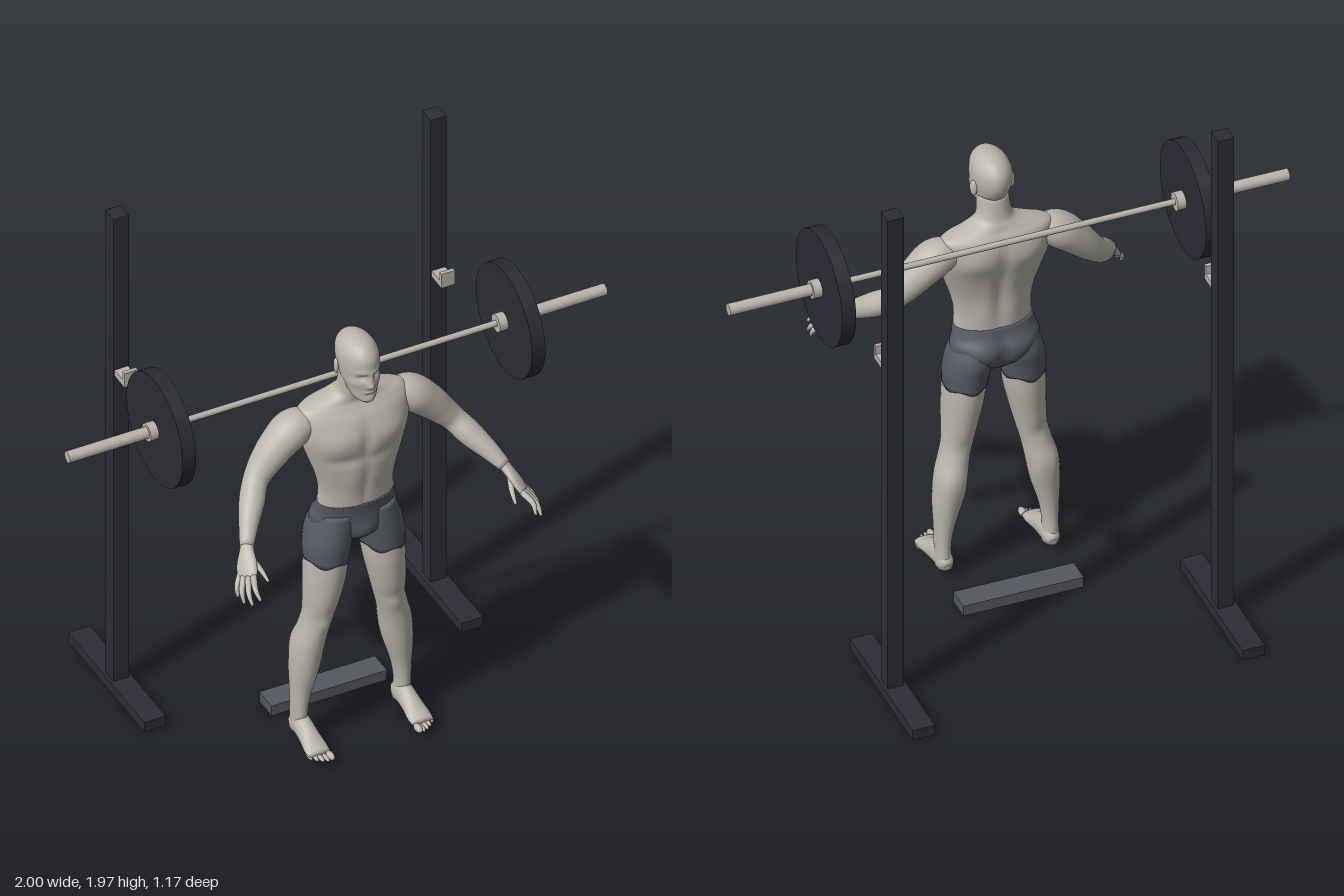
import * as THREE from 'three';

const material = (name, color) => {
  const m = new THREE.MeshStandardMaterial({ color });
  m.name = name;
  return m;
};

// Smooth skin through elliptical rings; rows are [x, y, z, radiusU, radiusV].
// Without ref the rings stay horizontal (rows run upward), otherwise they follow the path.
function loft(rows, { n = 24, steps = 5, ref = null, shape = null } = {}) {
  const centres = new THREE.CatmullRomCurve3(rows.map(r => new THREE.Vector3(r[0], r[1], r[2])), false, 'catmullrom', 0.5);
  const radii = new THREE.CatmullRomCurve3(rows.map(r => new THREE.Vector3(r[3], r[4], 0)), false, 'catmullrom', 0.5);
  const count = (rows.length - 1) * steps;
  const pos = [], index = [];
  for (let i = 0; i <= count; i++) {
    const t = i / count, c = centres.getPoint(t), r = radii.getPoint(t);
    let u = new THREE.Vector3(1, 0, 0), v = new THREE.Vector3(0, 0, 1);
    if (ref) {
      const w = centres.getTangent(t);
      u = new THREE.Vector3().crossVectors(ref, w).normalize();
      v = new THREE.Vector3().crossVectors(u, w).normalize();
    }
    for (let j = 0; j < n; j++) {
      const a = j / n * Math.PI * 2;
      const out = u.clone().multiplyScalar(r.x * Math.cos(a)).addScaledVector(v, r.y * Math.sin(a));
      const p = c.clone().add(out);
      if (shape) shape(p, out.normalize(), a);
      pos.push(p.x, p.y, p.z);
      if (i < count) {
        const k = i * n + j, l = i * n + (j + 1) % n;
        index.push(k, k + n, l, l, k + n, l + n);
      }
    }
  }
  const first = centres.getPoint(0), last = centres.getPoint(1), base = (count + 1) * n;
  pos.push(first.x, first.y, first.z, last.x, last.y, last.z);
  for (let j = 0; j < n; j++) {
    const k = (j + 1) % n;
    index.push(base, j, k, base + 1, count * n + k, count * n + j);
  }
  const g = new THREE.BufferGeometry();
  g.setAttribute('position', new THREE.Float32BufferAttribute(pos, 3));
  g.setIndex(index);
  g.computeVertexNormals();
  return g;
}

// Soft mirrored bulges and hollows: [x, y, z, width, height, amount]
const sculpt = bumps => (p, out) => {
  const q = p.clone();
  for (const [x, y, z, w, h, amount] of bumps) {
    const e = ((Math.abs(q.x) - x) / w) ** 2 + ((q.y - y) / h) ** 2 + ((q.z - z) / 0.06) ** 2;
    p.addScaledVector(out, amount * Math.exp(-e));
  }
};

export function createModel() {
  const model = new THREE.Group();
  model.name = 'squatRackScene';
  const skin = material('skin', 0xb9b6ab);
  const shorts = material('shorts', 0x555962);
  const steel = material('steel', 0xb9b6ab);
  const rack = material('rackPaint', 0x2d2d37);
  const rubber = material('plateRubber', 0x2b2b34);
  const stepGrey = material('stepGrey', 0x55585f);

  const add = (name, geometry, mat, x = 0, y = 0, z = 0, parent = model) => {
    const m = new THREE.Mesh(geometry, mat);
    m.name = name;
    m.position.set(x, y, z);
    parent.add(m);
    return m;
  };
  const box = (name, mat, w, h, d, x, y, z) => add(name, new THREE.BoxGeometry(w, h, d), mat, x, y, z);
  const rod = (name, mat, r, x0, x1, n) =>
    add(name, new THREE.CylinderGeometry(r, r, Math.abs(x1 - x0), n).rotateZ(Math.PI / 2), mat, (x0 + x1) / 2, 1.39, 0.127);

  // Rack, hooks and weights
  box('step', stepGrey, 0.43, 0.04, 0.088, 0, 0.02, 0.034);
  rod('bar', steel, 0.011, -0.6, 0.6, 16);
  for (const s of [1, -1]) {
    box('rackFoot', rack, 0.08, 0.04, 0.55, s * 0.59, 0.02, -0.31);
    box('rackUpright', rack, 0.058, 1.93, 0.06, s * 0.59, 1.005, -0.31);
    box('hookShelf', steel, 0.05, 0.025, 0.07, s * 0.59, 1.328, -0.245);
    box('hookLip', steel, 0.05, 0.058, 0.014, s * 0.59, 1.344, -0.217);
    rod('innerCollar', steel, 0.033, s * 0.595, s * 0.626, 12);
    rod('weightPlate', rubber, 0.204, s * 0.625, s * 0.675, 48);
    rod('outerCollar', steel, 0.033, s * 0.674, s * 0.705, 12);
    rod('sleeve', steel, 0.021, s * 0.6, s, 16);
  }

  const person = new THREE.Group();
  person.name = 'person';
  model.add(person);
  const part = (name, geometry, mat = skin) => add(name, geometry, mat, 0, 0, 0, person);

  // Torso and neck
  part('torso', loft([
    [0, 0.97, 0.265, 0.138, 0.075], [0, 1.05, 0.268, 0.136, 0.077], [0, 1.12, 0.27, 0.15, 0.084],
    [0, 1.2, 0.264, 0.177, 0.096], [0, 1.28, 0.253, 0.2, 0.104], [0, 1.34, 0.243, 0.205, 0.094],
    [0, 1.375, 0.235, 0.195, 0.076], [0, 1.395, 0.236, 0.145, 0.063], [0, 1.415, 0.242, 0.085, 0.059],
    [0, 1.44, 0.252, 0.06, 0.057], [0, 1.51, 0.27, 0.054, 0.06]], {
    n: 64, steps: 6, shape: sculpt([
      [0.09, 1.27, 0.345, 0.07, 0.05, 0.014], [0, 1.27, 0.36, 0.015, 0.07, -0.01],
      [0.08, 1.195, 0.35, 0.07, 0.02, -0.008], [0, 1.08, 0.345, 0.012, 0.1, -0.006],
      [0.1, 1.3, 0.16, 0.06, 0.06, 0.014], [0, 1.2, 0.165, 0.022, 0.16, -0.014],
      [0.05, 1.06, 0.19, 0.03, 0.08, 0.006], [0.045, 1.1, 0.35, 0.03, 0.09, 0.004]]) }));

  // Head with sculpted face
  part('head', loft([
    [0, 1.432, 0.335, 0.02, 0.028], [0, 1.45, 0.324, 0.04, 0.051], [0, 1.49, 0.302, 0.055, 0.077],
    [0, 1.53, 0.287, 0.063, 0.094], [0, 1.57, 0.281, 0.067, 0.101], [0, 1.61, 0.28, 0.064, 0.097],
    [0, 1.64, 0.28, 0.047, 0.074], [0, 1.655, 0.28, 0.025, 0.042], [0, 1.66, 0.28, 0.004, 0.006]], {
    n: 64, steps: 8, shape: sculpt([
      [0, 1.512, 0.385, 0.012, 0.012, 0.016], [0, 1.535, 0.38, 0.009, 0.022, 0.01],
      [0.026, 1.543, 0.37, 0.014, 0.011, -0.011], [0.024, 1.565, 0.375, 0.02, 0.008, 0.004],
      [0, 1.482, 0.375, 0.019, 0.006, 0.006], [0, 1.473, 0.375, 0.02, 0.004, -0.005],
      [0, 1.448, 0.375, 0.02, 0.014, 0.006], [0.045, 1.515, 0.35, 0.016, 0.016, 0.004]]) }));

  // Pelvis part of the shorts
  part('shortsSeat', loft([
    [0, 0.825, 0.25, 0.06, 0.055], [0, 0.865, 0.25, 0.135, 0.085], [0, 0.92, 0.247, 0.157, 0.092],
    [0, 0.96, 0.257, 0.147, 0.083], [0, 0.993, 0.265, 0.141, 0.079]], {
    n: 48, shape: sculpt([[0.07, 0.9, 0.16, 0.055, 0.06, 0.016], [0, 0.9, 0.15, 0.015, 0.08, -0.012],
      [0, 0.87, 0.34, 0.04, 0.04, 0.012]]) }), shorts);

  for (const s of [1, -1]) {
    const flip = rows => rows.map(r => [r[0] * s, ...r.slice(1)]);

    // Ear
    const ear = add('ear', new THREE.SphereGeometry(1, 16, 12), skin, s * 0.069, 1.54, 0.262, person);
    ear.scale.set(0.009, 0.03, 0.017);
    ear.rotation.y = s * 0.3;

    // Leg and wavy-hemmed shorts leg
    part('leg', loft(flip([
      [0.19, 0.045, 0.225, 0.03, 0.038], [0.192, 0.12, 0.231, 0.027, 0.039], [0.187, 0.2, 0.232, 0.034, 0.044],
      [0.175, 0.3, 0.234, 0.05, 0.057], [0.162, 0.4, 0.236, 0.056, 0.065], [0.146, 0.47, 0.246, 0.053, 0.061],
      [0.132, 0.53, 0.251, 0.054, 0.062], [0.122, 0.6, 0.257, 0.061, 0.075], [0.11, 0.7, 0.257, 0.071, 0.087],
      [0.104, 0.78, 0.255, 0.073, 0.089]]), {
      n: 32, shape: sculpt([[0.132, 0.51, 0.31, 0.025, 0.03, 0.007], [0.185, 0.38, 0.18, 0.025, 0.07, 0.006],
        [0.135, 0.36, 0.18, 0.025, 0.06, 0.006], [0.14, 0.52, 0.19, 0.03, 0.03, -0.005]]) }));
    part('shortsLeg', loft(flip([
      [0.104, 0.762, 0.255, 0.075, 0.091], [0.099, 0.82, 0.253, 0.08, 0.095],
      [0.086, 0.88, 0.249, 0.08, 0.096], [0.072, 0.95, 0.258, 0.066, 0.079]]), {
      n: 32, shape: (p, out, a) => { if (p.y < 0.77) p.y += 0.007 * Math.sin(a * 5); } }), shorts);

    // Foot, flat underneath, with toes
    part('foot', loft(flip([
      [0.19, 0.055, 0.19, 0.014, 0.014], [0.19, 0.062, 0.205, 0.027, 0.033], [0.19, 0.072, 0.25, 0.032, 0.045],
      [0.191, 0.062, 0.3, 0.035, 0.036], [0.192, 0.048, 0.35, 0.041, 0.022], [0.192, 0.042, 0.385, 0.039, 0.013]]), {
      ref: new THREE.Vector3(0, 1, 0), shape: p => { p.y = Math.max(p.y, 0.027); } }));
    for (let i = 0; i < 5; i++) {
      const r = i ? 0.0085 - i * 0.0004 : 0.013;
      const toe = add('toe', new THREE.SphereGeometry(1, 12, 8), skin,
        s * (0.163 + i * 0.0155), 0.027 + r, 0.404 - i * i * 0.0022, person);
      toe.scale.set(r, r, 0.024);
    }

    // Arm from shoulder to wrist
    part('arm', loft(flip([
      [0.14, 1.325, 0.235, 0.045, 0.045], [0.215, 1.313, 0.235, 0.07, 0.064], [0.28, 1.26, 0.238, 0.064, 0.06],
      [0.33, 1.207, 0.245, 0.054, 0.051], [0.37, 1.163, 0.263, 0.044, 0.043], [0.405, 1.122, 0.307, 0.044, 0.043],
      [0.445, 1.078, 0.362, 0.034, 0.034], [0.48, 1.035, 0.415, 0.024, 0.022]]), {
      ref: new THREE.Vector3(0, 1, 0), n: 32 }));

    // Palm, fingers and thumb
    const palmNormal = new THREE.Vector3(0.7 * s, 0.65, 0.3);
    part('palm', loft(flip([
      [0.472, 1.043, 0.403, 0.022, 0.02], [0.485, 1.025, 0.425, 0.026, 0.018], [0.5, 0.997, 0.455, 0.037, 0.016],
      [0.512, 0.97, 0.482, 0.037, 0.013], [0.516, 0.96, 0.49, 0.028, 0.006]]), { ref: palmNormal }));
    const fingers = [
      [[0.524, 0.965, 0.457], [0.55, 0.935, 0.482], [0.555, 0.905, 0.498]],
      [[0.521, 0.965, 0.474], [0.546, 0.933, 0.51], [0.55, 0.9, 0.535]],
      [[0.512, 0.968, 0.491], [0.535, 0.94, 0.538], [0.537, 0.91, 0.57]],
      [[0.5, 0.974, 0.503], [0.516, 0.955, 0.55], [0.512, 0.928, 0.58]],
      [[0.484, 1.01, 0.445], [0.468, 0.985, 0.49], [0.46, 0.96, 0.535]]];
    fingers.forEach((f, i) => part(i < 4 ? 'finger' : 'thumb', loft(flip([
      [...f[0], 0.012, 0.011], [...f[1], 0.0095, 0.0095], [...f[2], 0.005, 0.005]]), { ref: palmNormal, n: 10 })));
  }
  return model;
}
